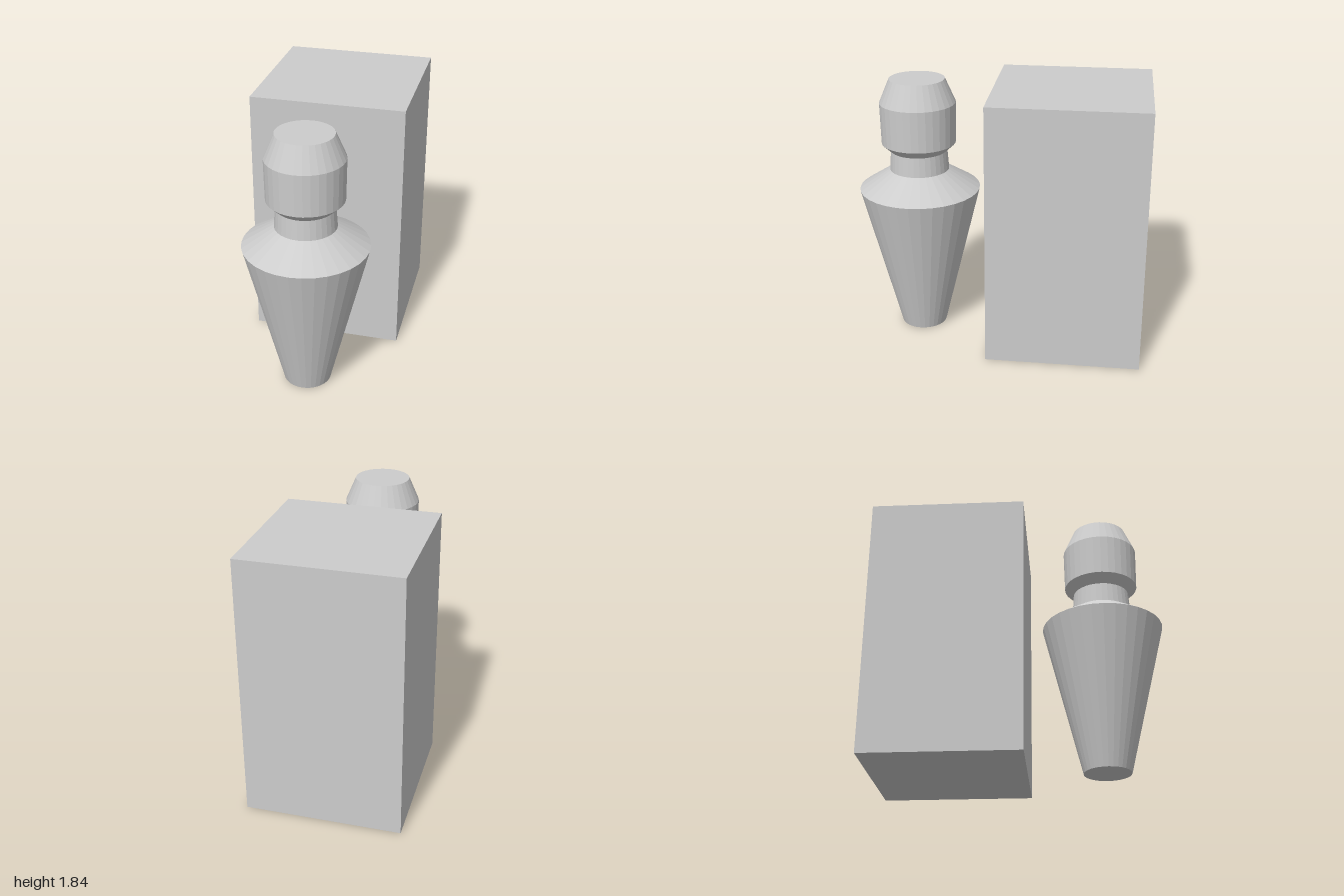
import * as THREE from 'three';

export function createModel() {
  const model = new THREE.Group();
  model.name = 'pegAndBlock';
  const grey = new THREE.MeshStandardMaterial({ color: 0xcccccc, flatShading: true });
  grey.name = 'plain grey';

  // Tall square block at the back
  const block = new THREE.Mesh(new THREE.BoxGeometry(1.054, 1.81, 1.052), grey);
  block.name = 'block';
  block.position.set(0, 0.905, -0.474);
  model.add(block);

  // Turned peg in front: tapered body, sloped shoulder, neck and bevelled head.
  // Each section is [radius, height], from the base cap to the top cap.
  const profile = [
    [0, 0.003], [0.161, 0.003], [0.42, 1.055], [0.205, 1.193], [0.195, 1.33],
    [0.256, 1.387], [0.261, 1.671], [0.19, 1.835], [0, 1.835],
  ].map(([r, y]) => new THREE.Vector2(r, y));
  const peg = new THREE.Mesh(new THREE.LatheGeometry(profile, 32), grey);
  peg.name = 'turnedPeg';
  peg.position.z = 0.58;
  model.add(peg);

  return model;
}
